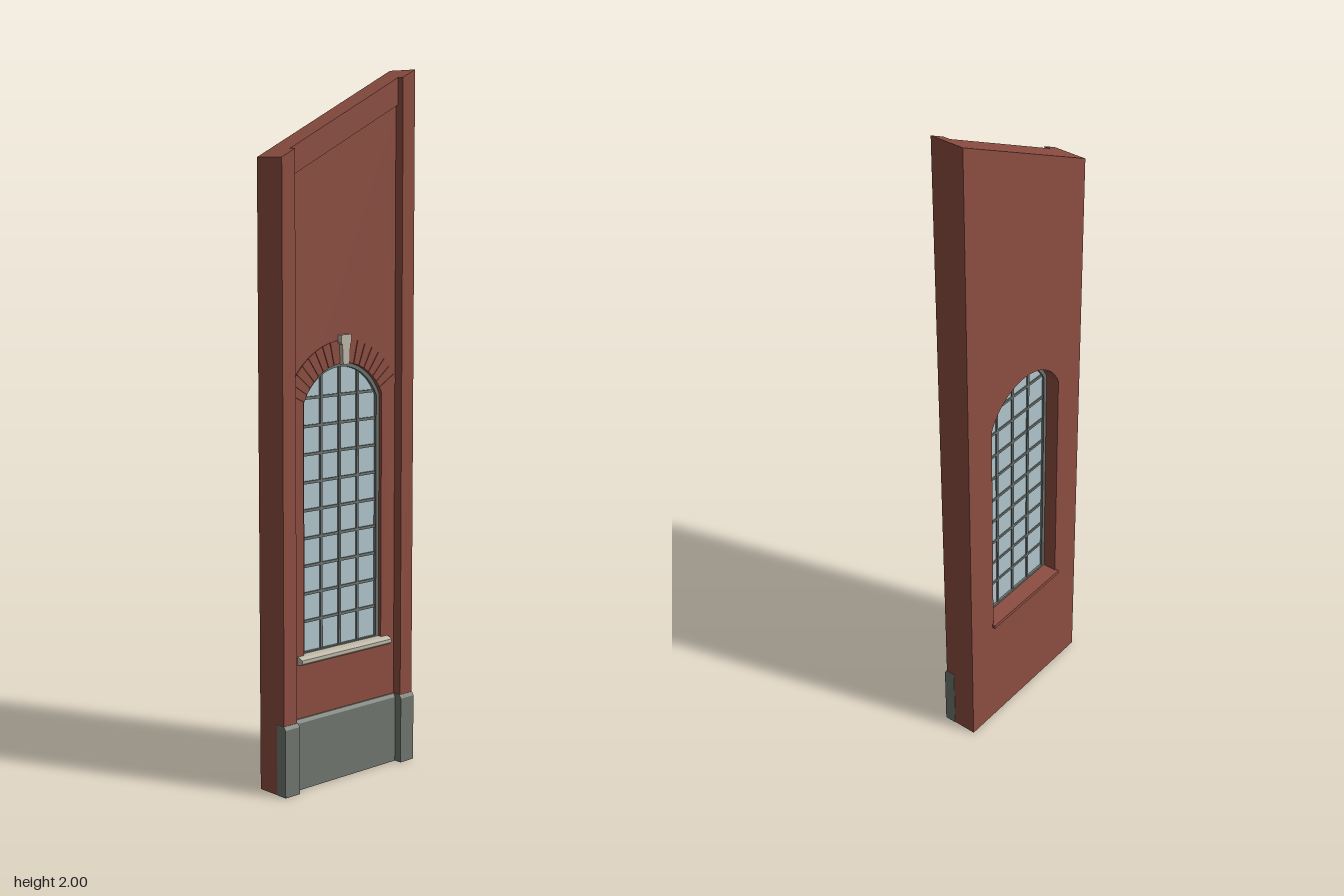
import * as THREE from 'three';

const mat = (name, color) => new THREE.MeshStandardMaterial({ name, color });

// Arch geometry of the window opening
const HALF = 0.15, SILL = 0.375, APEX = 1.19, R = 0.1625, CY = APEX - R;
const archY = (x, inset = 0) => CY + Math.sqrt((R - inset) ** 2 - x * x);

function archPath(Type, inset) {
  const p = new Type(), w = HALF - inset, r = R - inset;
  const a = Math.acos(w / r);
  p.moveTo(-w, SILL + inset);
  p.lineTo(w, SILL + inset);
  p.lineTo(w, archY(w, inset));
  p.absarc(0, CY, r, a, Math.PI - a, false);
  p.lineTo(-w, SILL + inset);
  return p;
}

// Sloping roof line
const roofY = (x) => 1.8775 + 0.49 * x;

function polygon(points) {
  return new THREE.Shape(points.map(([x, y]) => new THREE.Vector2(x, y)));
}

function slab(shape, z0, z1) {
  const g = new THREE.ExtrudeGeometry(shape, { depth: z1 - z0, bevelEnabled: false, curveSegments: 24 });
  return g.translate(0, 0, z0);
}

// Upright strip whose top follows the roof line
const strip = (x0, x1, y0) => polygon([[x0, y0], [x1, y0], [x1, roofY(x1)], [x0, roofY(x0)]]);

// Profile in (z, y) run along x
function moulding(profile, x0, x1) {
  const g = new THREE.ExtrudeGeometry(polygon(profile), { depth: x1 - x0, bevelEnabled: false });
  return g.rotateY(-Math.PI / 2).translate(x1, 0, 0);
}

export function createModel() {
  const brick = mat('brick', 0x8c4d41);
  const plinthGrey = mat('plinth grey', 0x6f756e);
  const stone = mat('pale stone', 0xbdb6a6);
  const frameGrey = mat('frame grey', 0x69716d);
  const glassBlue = mat('glass', 0xb0c4cc);

  const root = new THREE.Group();
  root.name = 'wallSection';
  const add = (name, geometry, material, parent = root) => {
    const m = new THREE.Mesh(geometry, material);
    m.name = name;
    parent.add(m);
    return m;
  };
  const box = (x0, x1, y0, y1, z0, z1) =>
    new THREE.BoxGeometry(x1 - x0, y1 - y0, z1 - z0)
      .translate((x0 + x1) / 2, (y0 + y1) / 2, (z0 + z1) / 2);

  // Wall with arched opening
  const wallShape = strip(-0.25, 0.25, 0);
  wallShape.holes.push(archPath(THREE.Path, 0));
  add('wall', slab(wallShape, -0.05, 0.022), brick);

  // Pilasters at both edges and the raised band under the roof line
  add('rightPilaster', slab(strip(-0.25, -0.203, 0), 0.022, 0.05), brick);
  add('leftPilaster', slab(strip(0.203, 0.25, 0), 0.022, 0.05), brick);
  const band = polygon([[-0.203, roofY(-0.203) - 0.075], [0.203, roofY(0.203) - 0.075],
    [0.203, roofY(0.203)], [-0.203, roofY(-0.203)]]);
  add('topBand', slab(band, 0.022, 0.03), brick);

  // Plinth with a small chamfer, stepping out around the pilasters
  const plinthProfile = (z) => [[0.022, 0], [z, 0], [z, 0.193], [z - 0.006, 0.203], [0.022, 0.203]];
  add('plinth', moulding(plinthProfile(0.033), -0.2, 0.2), plinthGrey);
  for (const s of [-1, 1]) {
    const x0 = s < 0 ? -0.2515 : 0.199;
    add(s < 0 ? 'rightPlinthBlock' : 'leftPlinthBlock',
      moulding(plinthProfile(0.057), x0, x0 + 0.0525), plinthGrey);
  }

  // Brick arch of separate wedges, with the keystone in the middle
  const archGroup = new THREE.Group();
  archGroup.name = 'brickArch';
  root.add(archGroup);
  const count = 8, start = 0.1, end = 1.16, step = (end - start) / count;
  for (const s of [-1, 1]) {
    for (let i = 0; i < count; i++) {
      const a0 = start + i * step + 0.006, a1 = start + (i + 1) * step - 0.006;
      const at = (r, a) => [s * r * Math.sin(a), CY + r * Math.cos(a)];
      const pts = [at(R, a0), at(R + 0.065, a0), at(R + 0.065, a1), at(R, a1)];
      add('archBrick', slab(polygon(pts), 0.02, 0.0245), brick, archGroup);
    }
  }
  const key = polygon([[-0.012, 1.187], [0.012, 1.187], [0.015, 1.243], [0.02, 1.248], [0.02, 1.27],
    [-0.02, 1.27], [-0.02, 1.248], [-0.015, 1.243]]);
  add('keystone', slab(key, 0.015, 0.035), stone);

  // Sills
  add('frontSill', moulding([[0.0, 0.358], [0.035, 0.358], [0.041, 0.364], [0.041, 0.374],
    [0.03, 0.38], [0.0, 0.384]], -0.175, 0.175).translate(0, 0, 0.001), stone);
  add('backSill', box(-0.155, 0.155, 0.368, 0.38, -0.06, -0.008), brick);

  // Window frame, glass and glazing bars
  const windowGroup = new THREE.Group();
  windowGroup.name = 'window';
  root.add(windowGroup);
  const frameShape = archPath(THREE.Shape, 0);
  frameShape.holes.push(archPath(THREE.Path, 0.011));
  add('frame', slab(frameShape, -0.008, 0.012), frameGrey, windowGroup);
  add('glass', slab(archPath(THREE.Shape, 0.008), -0.001, 0.003), glassBlue, windowGroup);
  for (const x of [-0.07, 0, 0.07]) {
    add('uprightBar', box(x - 0.004, x + 0.004, SILL + 0.008, archY(x, 0.006), -0.005, 0.008),
      frameGrey, windowGroup);
  }
  for (let i = 0; i < 9; i++) {
    const y = 0.472 + i * 0.0785;
    const w = Math.min(HALF - 0.008, Math.sqrt((R - 0.006) ** 2 - Math.max(0, y - CY) ** 2));
    add('crossBar', box(-w, w, y - 0.004, y + 0.004, -0.0045, 0.0075), frameGrey, windowGroup);
  }

  return root;
}
